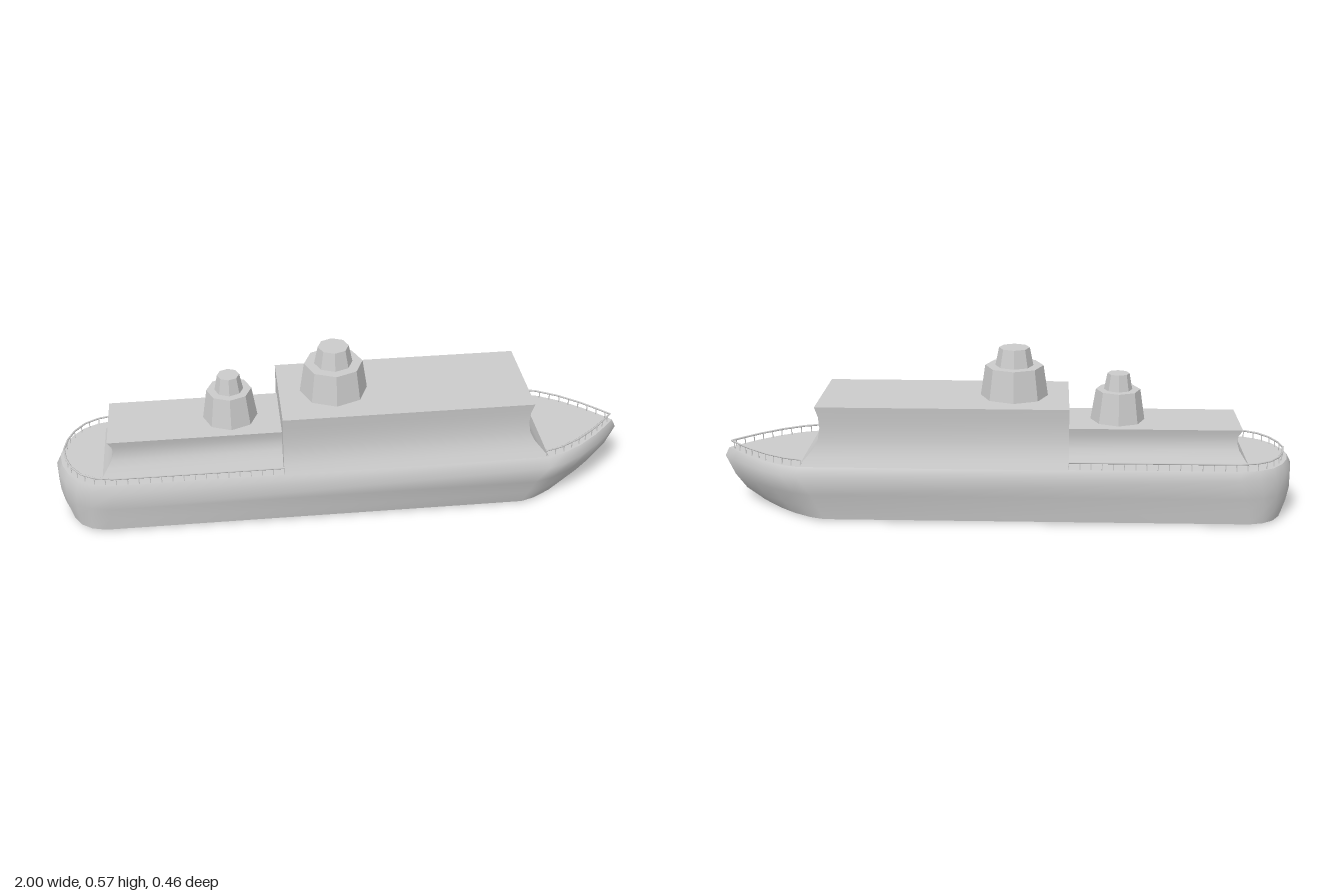
import * as THREE from 'three';
import { mergeGeometries, toCreasedNormals } from 'three/addons/utils/BufferGeometryUtils.js';

const grey = new THREE.MeshStandardMaterial({ color: 0xcccccc });
const greyFlat = new THREE.MeshStandardMaterial({ color: 0xcccccc, flatShading: true });

function mesh(name, geometry, material = grey) {
  const m = new THREE.Mesh(geometry, material);
  m.name = name;
  return m;
}

function fromTriangles(points, crease) {
  const g = new THREE.BufferGeometry().setFromPoints(points);
  return toCreasedNormals(g, crease);
}

// Skin closed rings from bottom to top, smooth up the sides, flat caps with sharp rims.
function loft(rings, keelDrop = 0) {
  const sides = [], caps = [];
  const n = rings[0].length;
  for (let i = 0; i < rings.length - 1; i++) {
    for (let j = 0; j < n; j++) {
      const k = (j + 1) % n;
      const a = rings[i][j], b = rings[i][k], c = rings[i + 1][k], d = rings[i + 1][j];
      sides.push(a, b, c, a, c, d);
    }
  }
  const bottom = rings[0], top = rings[rings.length - 1];
  const low = new THREE.Vector3(0, bottom[0].y - keelDrop, 0);
  const high = new THREE.Vector3(0, top[0].y, 0);
  low.x = (bottom[0].x + bottom[n >> 1].x) / 2;
  high.x = (top[0].x + top[n >> 1].x) / 2;
  for (let j = 0; j < n; j++) {
    const k = (j + 1) % n;
    caps.push(low, bottom[k], bottom[j], high, top[j], top[k]);
  }
  return mergeGeometries([fromTriangles(sides, 1.2), fromTriangles(caps, 0.3)]);
}

// Waterline shape: [fraction from shoulder to tip, fraction of half width]
const BOW = [[1, 0], [0.86, 0.21], [0.7, 0.43], [0.45, 0.71], [0.2, 0.91], [0, 1]];
const STERN = [[0, 1], [0.35, 0.93], [0.62, 0.79], [0.82, 0.56], [0.94, 0.3], [1, 0]];

function hullRing([y, bowShoulder, bowTip, bowHalf, sternShoulder, sternTip, sternHalf]) {
  const half = [
    ...BOW.map(([t, w]) => [THREE.MathUtils.lerp(bowShoulder, bowTip, t), w * bowHalf]),
    ...STERN.map(([t, w]) => [THREE.MathUtils.lerp(sternShoulder, sternTip, t), w * sternHalf]),
  ];
  const right = half.map(([x, z]) => new THREE.Vector3(x, y, -z));
  const left = half.slice(1, -1).reverse().map(([x, z]) => new THREE.Vector3(x, y, z));
  return [...right, ...left];
}

// Deckhouse with a concave side profile: levels of [y, half width, front x, back x]
function house(name, levels) {
  const rings = levels.map(([y, w, front, back]) => [
    new THREE.Vector3(front, y, w), new THREE.Vector3(front, y, -w),
    new THREE.Vector3(back, y, -w), new THREE.Vector3(back, y, w),
  ]);
  // creased by the wide corner angle only, so the curved walls stay smooth
  return mesh(name, loft(rings));
}

// Eight-sided two-stage funnel
function funnel(name, x, y, lower, upper) {
  const g = new THREE.Group();
  g.name = name;
  let base = y;
  [lower, upper].forEach(([bottomR, topR, height], i) => {
    const geo = new THREE.CylinderGeometry(topR, bottomR, height, 8);
    const part = mesh(i ? 'funnelTop' : 'funnelBase', geo, greyFlat);
    part.position.set(x, base + height / 2, 0);
    g.add(part);
    base += height;
  });
  return g;
}

// Handrail on posts along a deck-edge path
function railing(name, points) {
  const g = new THREE.Group();
  g.name = name;
  const path = new THREE.CurvePath();
  for (let i = 0; i < points.length - 1; i++) path.add(new THREE.LineCurve3(points[i], points[i + 1]));
  const height = 0.025;
  const rail = mesh('handrail', new THREE.TubeGeometry(path, 120, 0.0035, 5));
  rail.position.y = height;
  g.add(rail);
  const count = Math.round(path.getLength() / 0.038);
  const postGeo = new THREE.BoxGeometry(0.003, height, 0.003);
  for (let i = 0; i <= count; i++) {
    const post = mesh('railPost', postGeo);
    post.position.copy(path.getPointAt(i / count));
    post.position.y += height / 2;
    g.add(post);
  }
  return g;
}

export function createModel() {
  const ship = new THREE.Group();
  ship.name = 'ship';

  // Hull: y, bow shoulder x, bow tip x, half width, stern shoulder x, stern tip x, half width
  const levels = [
    [0.006, 0.62, 0.87, 0.192, -0.84, -0.975, 0.187],
    [0.05, 0.64, 0.93, 0.2, -0.83, -0.99, 0.193],
    [0.1, 0.66, 0.968, 0.211, -0.82, -1, 0.2],
    [0.17, 0.7, 1, 0.23, -0.8, -1, 0.214],
    [0.2, 0.7, 0.985, 0.206, -0.8, -0.985, 0.202],
  ];
  ship.add(mesh('hull', loft(levels.map(hullRing), 0.006)));

  // Deckhouses
  ship.add(house('mainDeckhouse', [
    [0.199, 0.206, 0.7, -0.22],
    [0.23, 0.191, 0.673, -0.22],
    [0.26, 0.181, 0.648, -0.22],
    [0.29, 0.176, 0.633, -0.22],
    [0.33, 0.175, 0.626, -0.22],
    [0.37, 0.178, 0.629, -0.22],
    [0.405, 0.182, 0.64, -0.22],
  ]));
  ship.add(house('aftDeckhouse', [
    [0.199, 0.15, -0.2, -0.835],
    [0.225, 0.136, -0.2, -0.817],
    [0.25, 0.124, -0.2, -0.801],
    [0.275, 0.119, -0.2, -0.793],
    [0.3, 0.121, -0.2, -0.796],
    [0.322, 0.126, -0.2, -0.81],
  ]));

  // Funnels
  ship.add(funnel('mainFunnel', -0.03, 0.405, [0.117, 0.101, 0.107], [0.066, 0.053, 0.063]));
  ship.add(funnel('aftFunnel', -0.39, 0.322, [0.094, 0.077, 0.108], [0.049, 0.038, 0.057]));

  // Railings just inside the deck edge
  const edge = hullRing([0.2, 0.69, 0.975, 0.202, -0.8, -0.97, 0.198]);
  const nBow = BOW.length, nStern = STERN.length;
  const bowRight = edge.slice(0, nBow);
  const mirror = (p) => new THREE.Vector3(p.x, p.y, -p.z);
  ship.add(railing('bowRailing', [...bowRight.slice(1).reverse(), ...bowRight.map(mirror)]));
  const sternRight = [new THREE.Vector3(-0.22, 0.2, -0.2), ...edge.slice(nBow, nBow + nStern)];
  ship.add(railing('sternRailing', [...sternRight, ...sternRight.slice(0, -1).reverse().map(mirror)]));

  return ship;
}
